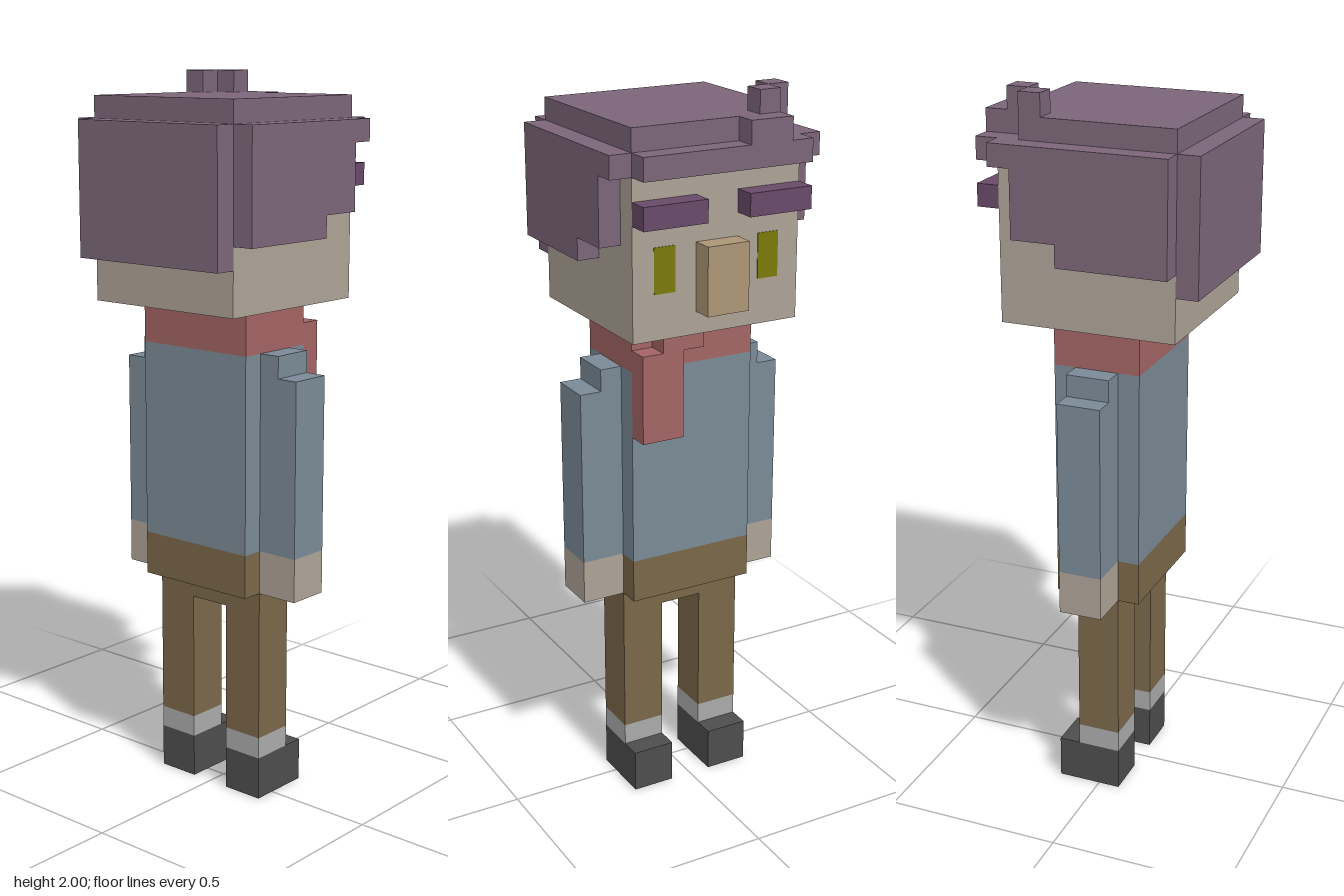
import * as THREE from 'three';

const U = 2 / 33; // one voxel

const mat = (color) => new THREE.MeshStandardMaterial({ color, flatShading: true });

export function createModel() {
  const model = new THREE.Group();
  const hair = mat(0x7b6679), brow = mat(0x684a68), skin = mat(0xada396), nose = mat(0xac9676);
  const eye = mat(0x7a7a0c), scarf = mat(0xa36464), shirt = mat(0x7a8a96);
  const trousers = mat(0x7a6749), sock = mat(0xaaaaaa), shoe = mat(0x4d4d4d);

  // Box from voxel ranges; the face looks along +x
  const box = (name, material, [x0, x1], [y0, y1], [z0, z1]) => {
    const mesh = new THREE.Mesh(new THREE.BoxGeometry((x1 - x0) * U, (y1 - y0) * U, (z1 - z0) * U), material);
    mesh.position.set((x0 + x1) * U / 2, (y0 + y1) * U / 2, (z0 + z1) * U / 2);
    mesh.name = name;
    model.add(mesh);
  };
  // The same box on both sides of the body
  const pair = (name, material, x, y, [z0, z1]) => {
    box(name + 'A', material, x, y, [z0, z1]);
    box(name + 'B', material, x, y, [-z1, -z0]);
  };

  // Legs
  pair('shoe', shoe, [-1, 2], [0, 2], [1, 3]);
  pair('sock', sock, [-1, 1], [2, 3], [1, 3]);
  pair('leg', trousers, [-1, 1], [3, 9], [1, 3]);
  box('crotch', trousers, [-1, 1], [9, 10], [-3, 3]);
  box('hips', trousers, [-2, 2], [10, 12], [-3, 3]);

  // Torso and arms
  box('torso', shirt, [-2, 2], [12, 21], [-3, 3]);
  pair('hand', skin, [-1, 1], [10, 12], [3, 5]);
  pair('sleeve', shirt, [-1, 1], [12, 20], [3, 5]);
  pair('shoulder', shirt, [-1, 1], [20, 21], [3, 4]);

  // Scarf with a hanging end
  box('scarf', scarf, [-2, 2], [21, 23], [-3, 3]);
  box('scarfKnot', scarf, [2, 3], [22, 23], [0, 2]);
  box('scarfTail', scarf, [2, 3], [18, 22], [1, 3]);

  // Head and face
  box('head', skin, [-4, 4], [23, 30], [-4, 4]);
  box('nose', nose, [4, 5], [24, 27], [-1, 1]);
  pair('eye', eye, [3.5, 4.03], [25, 27], [2, 3]);
  pair('eyebrow', brow, [4, 5], [28, 29], [1, 4]);

  // Hair: crown, sides, back and fringe
  box('hairCap', hair, [-4, 4], [30, 31], [-4, 4]);
  box('hairCrown', hair, [-4, 4], [31, 32], [-3, 4]);
  box('hairCrownEdge', hair, [-4, 3], [31, 32], [-4, -3]);
  pair('hairSideTop', hair, [-4, 4], [30, 31], [4, 5]);
  pair('hairSide', hair, [-4, 3], [27, 30], [4, 5]);
  pair('hairSideLow', hair, [-4, 1], [26, 27], [4, 5]);
  box('hairBack', hair, [-5, -4], [25, 31], [-4, 4]);
  box('fringe', hair, [4, 5], [30, 31], [-4, 4]);
  box('fringeLock', hair, [4, 5], [31, 32], [-3, -1]);
  box('tuftBack', hair, [2, 3], [32, 33], [-4, -3]);
  box('tuftFront', hair, [3, 4], [32, 33], [-3, -2]);

  return model;
}
